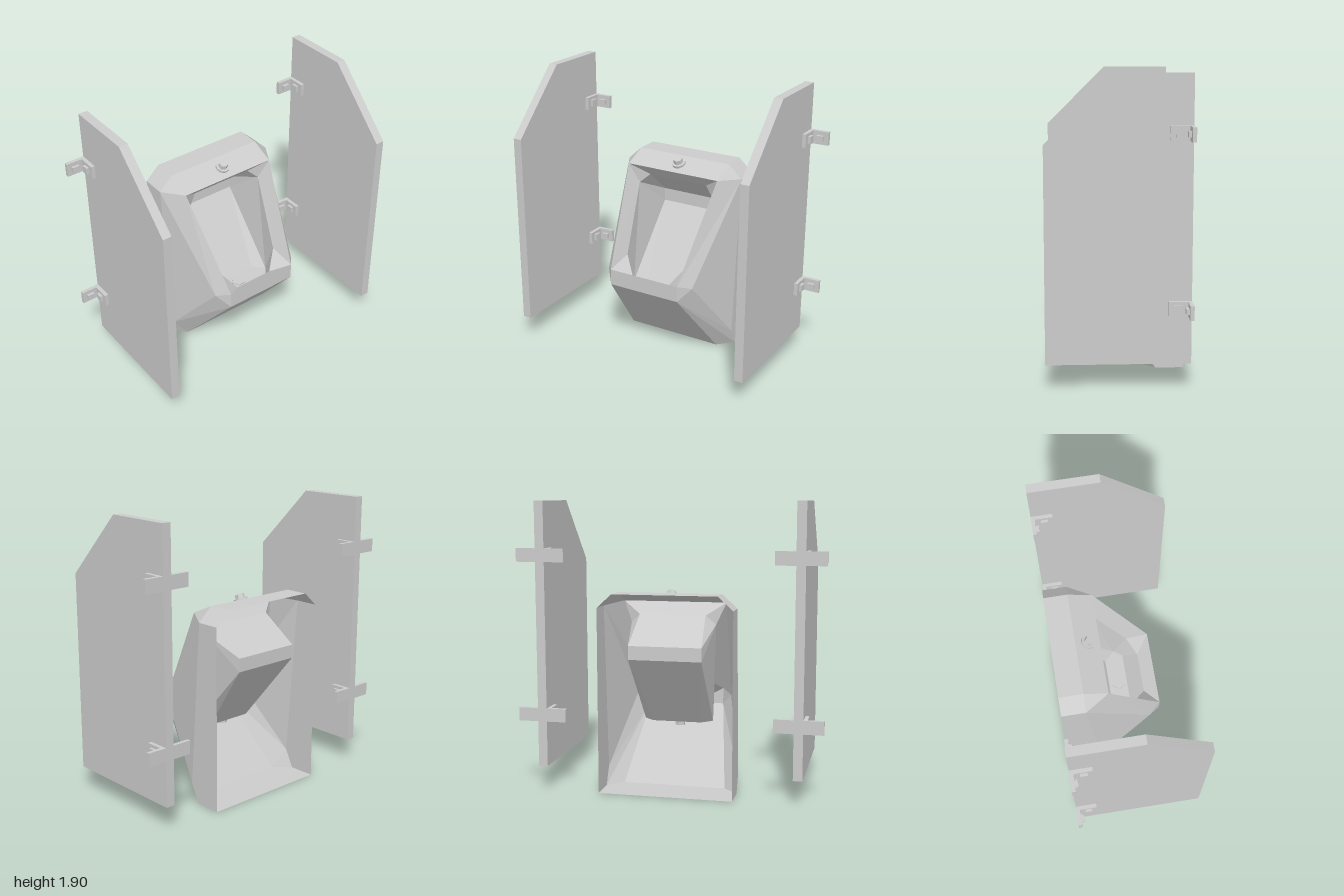
import * as THREE from 'three';

const grey = new THREE.MeshStandardMaterial({ color: 0xcccccc, flatShading: true });
const sheet = new THREE.MeshStandardMaterial({ color: 0xcccccc, flatShading: true, side: THREE.DoubleSide });

function add(parent, name, geometry, x = 0, y = 0, z = 0, material = grey) {
  const mesh = new THREE.Mesh(geometry, material);
  mesh.name = name;
  mesh.position.set(x, y, z);
  parent.add(mesh);
  return mesh;
}

// Flat-faced sheet, symmetric in x: "sides" are polygons given for +x and
// mirrored; "spans" are edges joined straight across to their mirror image.
function mirroredSheet(points, sides, spans) {
  const pos = [];
  const at = (key, s) => [points[key][0] * s, points[key][1], points[key][2]];
  const fan = (corners) => {
    for (let i = 1; i < corners.length - 1; i++) pos.push(...corners[0], ...corners[i], ...corners[i + 1]);
  };
  for (const side of sides) {
    const keys = side.split(' ');
    fan(keys.map((k) => at(k, 1)));
    fan(keys.map((k) => at(k, -1)).reverse());
  }
  for (const span of spans) {
    const [a, b] = span.split(' ');
    fan([at(a, 1), at(a, -1), at(b, -1), at(b, 1)]);
  }
  const g = new THREE.BufferGeometry();
  g.setAttribute('position', new THREE.Float32BufferAttribute(pos, 3));
  g.computeVertexNormals();
  return g;
}

function makeUrinal() {
  const urinal = new THREE.Group();
  urinal.name = 'urinal';
  urinal.position.x = 0.0175;

  // Corners of the rim shared by shell and bowl
  const rim = { rimTop: [0.345, 1.24, -0.12], lipTop: [0.26, 0.6, 0.25] };

  // Outer shell, open at the back
  const shell = {
    ...rim,
    backLow: [0.4425, 0, -0.44], sideLow: [0.4425, 0, -0.26], sideKnee: [0.4425, 0.12, -0.2],
    sideTop: [0.4425, 1.22, -0.28], backTop: [0.4425, 1.22, -0.44],
    crownBack: [0.345, 1.31, -0.44], crownFront: [0.345, 1.31, -0.28],
    toe: [0.345, 0, -0.16], lipLow: [0.26, 0.49, 0.25], cheek: [0.33, 0.57, 0.17],
  };
  add(urinal, 'shell', mirroredSheet(shell, [
    'backLow backTop sideTop sideKnee sideLow',
    'sideKnee sideTop cheek',
    'sideTop rimTop lipTop cheek',
    'sideTop crownFront rimTop',
    'backTop crownBack crownFront sideTop',
    'cheek lipTop lipLow',
    'sideKnee cheek lipLow',
    'sideLow sideKnee lipLow toe',
    'backLow sideLow toe',
  ], [
    'crownFront crownBack', 'rimTop crownFront', 'lipLow lipTop', 'toe lipLow', 'backLow toe',
  ]), 0, 0, 0, sheet);

  // Recessed bowl
  const bowl = {
    ...rim,
    inTop: [0.22, 1.16, -0.2], inShoulder: [0.285, 1.1, -0.165],
    inHip: [0.228, 0.66, 0.09], inLow: [0.14, 0.54, 0.16],
    backTop: [0.24, 0.98, -0.43], backLow: [0.24, 0.89, -0.43],
    floorBack: [0.165, 0.42, -0.07], floorSide: [0.235, 0.42, 0], floorFront: [0.19, 0.42, 0.06],
  };
  add(urinal, 'bowl', mirroredSheet(bowl, [
    'rimTop inTop inShoulder',
    'rimTop inShoulder inHip lipTop',
    'lipTop inHip inLow',
    'inTop backTop inShoulder',
    'inShoulder backTop backLow',
    'inShoulder backLow floorSide',
    'inShoulder floorSide inHip',
    'backLow floorBack floorSide',
    'floorBack floorFront floorSide',
    'inHip floorSide floorFront',
    'inHip floorFront inLow',
  ], [
    'rimTop inTop', 'inTop backTop', 'backTop backLow', 'backLow floorBack',
    'floorBack floorFront', 'floorFront inLow', 'inLow lipTop',
  ]), 0, 0, 0, sheet);

  // Flush button on the sloping top
  const button = new THREE.Group();
  button.name = 'flushButton';
  button.position.set(0.008, 1.275, -0.2);
  button.rotation.x = Math.atan2(0.07, 0.16);
  add(button, 'buttonCollar', new THREE.CylinderGeometry(0.047, 0.047, 0.016, 12), 0, 0.008, 0);
  add(button, 'buttonCap', new THREE.CylinderGeometry(0.03, 0.034, 0.03, 6), 0, 0.03, 0);
  urinal.add(button);

  // Drain in the bowl floor, with its nut underneath
  add(urinal, 'drain', new THREE.CylinderGeometry(0.05, 0.05, 0.016, 6), -0.008, 0.42, 0).rotation.y = Math.PI / 6;
  add(urinal, 'drainNut', new THREE.CylinderGeometry(0.035, 0.035, 0.03, 6), -0.008, 0.4, 0);
  return urinal;
}

// Pair of angle brackets holding a panel to the wall
function makeBracket(y) {
  const bracket = new THREE.Group();
  bracket.name = 'wallBracket';
  bracket.position.y = y;
  for (const s of [-1, 1]) {
    add(bracket, 'wallLeg', new THREE.BoxGeometry(0.13, 0.088, 0.025), s * 0.095, 0, -0.4275);
    add(bracket, 'panelLeg', new THREE.BoxGeometry(0.025, 0.088, 0.115), s * 0.0425, 0, -0.3575);
    add(bracket, 'wallBolt', new THREE.BoxGeometry(0.048, 0.034, 0.02), s * 0.107, 0, -0.406);
    add(bracket, 'panelBolt', new THREE.BoxGeometry(0.02, 0.046, 0.046), s * 0.063, 0, -0.355);
  }
  return bracket;
}

function makePartition(x) {
  const partition = new THREE.Group();
  partition.name = 'partition';
  partition.position.x = x;
  // Side profile, drawn with -z to the right so it turns upright
  const profile = new THREE.Shape([
    [-0.44, 0.16], [0.44, 0.16], [0.44, 1.9], [-0.02, 1.9], [-0.44, 1.48],
  ].map(([a, b]) => new THREE.Vector2(a, b)));
  const g = new THREE.ExtrudeGeometry(profile, { depth: 0.06, bevelEnabled: false });
  g.translate(0, 0, -0.03);
  g.rotateY(Math.PI / 2);
  add(partition, 'panel', g);
  for (const y of [0.505, 1.552]) partition.add(makeBracket(y));
  return partition;
}

export function createModel() {
  const model = new THREE.Group();
  model.name = 'urinalWithPartitions';
  model.add(makeUrinal(), makePartition(-0.84), makePartition(0.84));
  return model;
}
